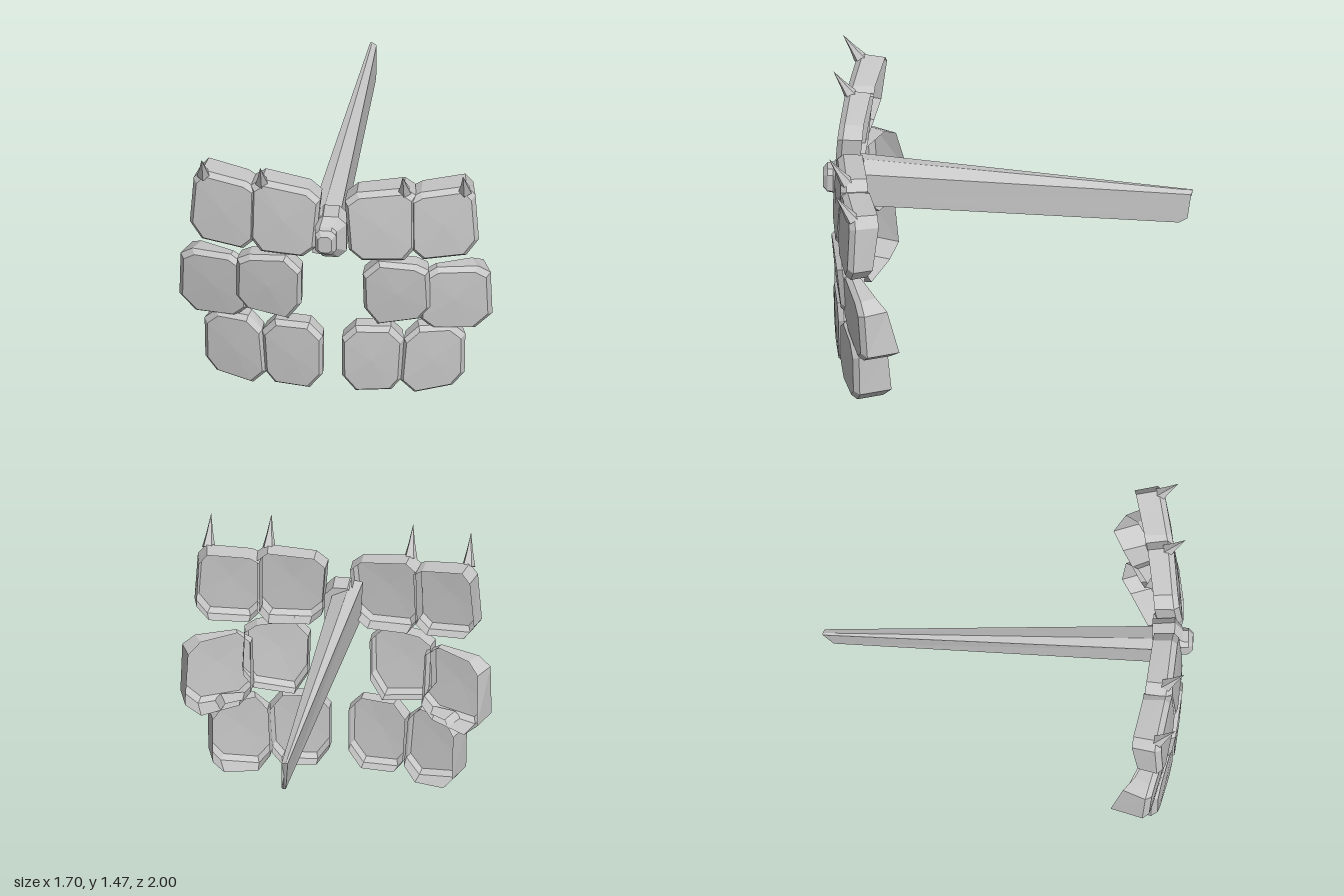
import * as THREE from 'three';

const grey = new THREE.MeshStandardMaterial({ color: 0xc8c8c8, flatShading: true, side: THREE.DoubleSide });
grey.name = 'stone grey';

// Faceted body through rings of [x, y, z], front to back, each counter-clockwise from the front.
// bulge moves the middle of the front cap along z; openBack leaves the back as a hollow shell.
function loft(name, rings, { bulge = 0, openBack = false } = {}) {
  const pos = [];
  const tri = (a, b, c) => pos.push(...a, ...b, ...c);
  const middle = (ring) => [0, 1, 2].map((k) => ring.reduce((sum, p) => sum + p[k], 0) / ring.length);
  const n = rings[0].length;
  const first = rings[0], last = rings[rings.length - 1];
  const front = middle(first), back = middle(last);
  front[2] += bulge;
  for (let i = 0; i < n; i++) {
    const j = (i + 1) % n;
    tri(front, first[i], first[j]);
    for (let r = 0; r + 1 < rings.length; r++) {
      const f = rings[r], b = rings[r + 1];
      tri(f[i], b[i], b[j]);
      tri(f[i], b[j], f[j]);
    }
    if (!openBack) tri(back, last[j], last[i]);
  }
  const geometry = new THREE.BufferGeometry();
  geometry.setAttribute('position', new THREE.Float32BufferAttribute(pos, 3));
  geometry.computeVertexNormals();
  const mesh = new THREE.Mesh(geometry, grey);
  mesh.name = name;
  return mesh;
}

// Plate corners for the +x side. front and back: z at the inner edge, z at the
// outer edge, and change of z per unit of height.
const plates = [
  { name: 'topInnerPlate', front: [0.935, 0.9, -0.07], back: [0.8, 0.755, -0.08],
    pts: [[0.448, 1.29], [0.39, 1.335], [0.13, 1.305], [0.066, 1.25], [0.09, 0.95], [0.16, 0.885], [0.39, 0.888], [0.452, 0.97]] },
  { name: 'topOuterPlate', front: [0.9, 0.835, -0.05], back: [0.76, 0.69, -0.14],
    pts: [[0.42, 1.276], [0.475, 1.308], [0.718, 1.336], [0.765, 1.28], [0.785, 1.0], [0.718, 0.904], [0.489, 0.885], [0.425, 0.952]] },
  { name: 'middleInnerPlate', front: [0.94, 0.895, 0.09], back: [0.83, 0.78, 0.06],
    pts: [[0.522, 0.82], [0.457, 0.861], [0.252, 0.888], [0.166, 0.8], [0.17, 0.57], [0.243, 0.455], [0.47, 0.49], [0.53, 0.57]] },
  { name: 'middleOuterPlate', front: [0.88, 0.77, 0.05], back: [0.76, 0.59, 0.22],
    pts: [[0.475, 0.76], [0.561, 0.815], [0.775, 0.797], [0.842, 0.747], [0.85, 0.473], [0.757, 0.386], [0.534, 0.413], [0.465, 0.486]] },
  { name: 'bottomInnerPlate', front: [0.94, 0.9, 0.02], back: [0.83, 0.78, 0.02],
    pts: [[0.052, 0.372], [0.125, 0.45], [0.316, 0.445], [0.384, 0.363], [0.37, 0.1], [0.316, 0.03], [0.125, 0.025], [0.052, 0.126]] },
  { name: 'bottomOuterPlate', front: [0.9, 0.81, 0.02], back: [0.78, 0.615, 0.1],
    pts: [[0.385, 0.36], [0.463, 0.435], [0.64, 0.43], [0.708, 0.36], [0.704, 0.11], [0.64, 0.03], [0.438, 0.002], [0.364, 0.09]] },
];

// Octagonal plate: bevelled front and a side wall deepening outwards, hollow behind.
function plate({ name, front, back, pts }, side) {
  const xs = pts.map((p) => p[0]);
  const x0 = Math.min(...xs), x1 = Math.max(...xs);
  const cx = (x0 + x1) / 2;
  const cy = pts.reduce((sum, p) => sum + p[1], 0) / pts.length;
  const shift = ((front[0] - front[1]) / (x1 - x0)) * (front[1] - back[1]);
  const ring = (scale, [inner, outer, tilt], dz, power, lean) => pts.map(([px, py]) => {
    const x = cx + (px - cx) * scale, y = cy + (py - cy) * scale;
    const t = (x - x0) / (x1 - x0);
    return [side * (x - lean * t), y, inner + (outer - inner) * t ** power + tilt * (y - cy) + dz];
  });
  const rings = [
    ring(0.89, front, 0, 1, 0),
    ring(1, front, -0.03, 1, 0),
    ring(0.99, back, 0, 2, shift),
  ];
  const area = rings[1].reduce((sum, p, i, r) => {
    const q = r[(i + 1) % r.length];
    return sum + p[0] * q[1] - q[0] * p[1];
  }, 0);
  if (area < 0) rings.forEach((r) => r.reverse());
  return loft(name, rings, { bulge: 0.006, openBack: true });
}

// Thin thorn with a slightly hollow profile, leaning forward.
function thorn(x, z) {
  const profile = [[0, 0], [0.038, 0], [0.019, 0.08], [0, 0.185]].map((p) => new THREE.Vector2(...p));
  const mesh = new THREE.Mesh(new THREE.LatheGeometry(profile, 5), grey);
  mesh.name = 'thorn';
  mesh.position.set(x, 1.312, z);
  mesh.rotation.x = 0.54;
  return mesh;
}

// Octagon with cut corners
const octagon = (cx, cy, w, h, cut, z) => [
  [w, h - cut], [w - cut, h], [cut - w, h], [-w, h - cut],
  [-w, cut - h], [cut - w, -h], [w - cut, -h], [w, cut - h],
].map(([x, y]) => [cx + x, cy + y, z]);

export function createModel() {
  const model = new THREE.Group();
  model.name = 'plateArmour';

  for (const side of [1, -1]) {
    const half = new THREE.Group();
    half.name = side > 0 ? 'leftPlates' : 'rightPlates';
    plates.forEach((p) => half.add(plate(p, side)));
    half.add(thorn(side * 0.387, 0.86), thorn(side * 0.71, 0.818));
    model.add(half);
  }

  // Central boss
  model.add(loft('centreBoss', [
    octagon(-0.031, 1.025, 0.036, 0.05, 0.016, 1),
    octagon(-0.031, 1.025, 0.056, 0.076, 0.024, 0.975),
    octagon(-0.031, 1.025, 0.058, 0.08, 0.025, 0.945),
    octagon(-0.01, 1.015, 0.086, 0.13, 0.045, 0.9),
    octagon(-0.015, 1.015, 0.085, 0.125, 0.045, 0.78),
  ]));

  // Long tapering bar behind the boss
  model.add(loft('rearBar', [
    [[0.03, 0.92, 0.89], [0.03, 1.097, 0.89], [-0.06, 1.14, 0.89], [-0.123, 1.13, 0.89], [-0.11, 0.895, 0.89], [0.03, 0.885, 0.89]],
    [[0.03, 0.835, -0.97], [0.028, 0.995, -0.99], [0.003, 1.005, -1], [-0.008, 1.003, -1], [0.012, 0.815, -0.94], [0.03, 0.805, -0.925]],
  ]));
  return model;
}
